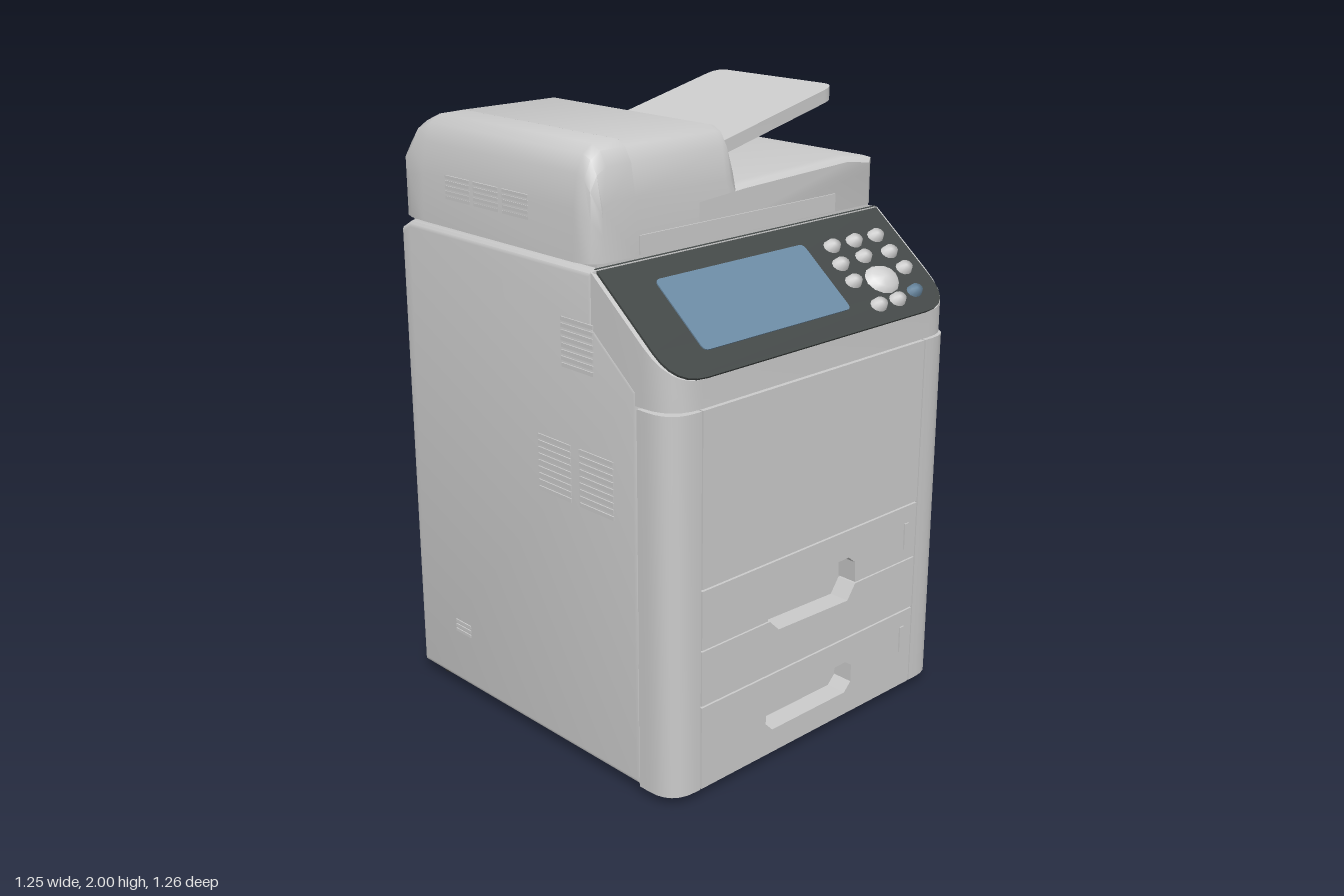
import * as THREE from 'three';
import { toCreasedNormals } from 'three/addons/utils/BufferGeometryUtils.js';

const material = (name, color) => {
  const m = new THREE.MeshStandardMaterial({ color });
  m.name = name;
  return m;
};

export function createModel() {
  const model = new THREE.Group();
  model.name = 'officePrinter';
  const casing = material('lightGreyCasing', 0xcbcbcb);
  const dark = material('charcoalPanel', 0x434847);
  const blue = material('screenBlue', 0x6b8aa3);
  const keyGrey = material('buttonGrey', 0xd6d6d6);
  const rubber = material('rubberFeet', 0x2c2e2e);

  const add = (name, geometry, mat = casing, parent = model) => {
    const mesh = new THREE.Mesh(geometry, mat);
    mesh.name = name;
    parent.add(mesh);
    return mesh;
  };
  const box = (name, x0, x1, y0, y1, z0, z1, mat = casing, parent = model) => {
    const mesh = add(name, new THREE.BoxGeometry(x1 - x0, y1 - y0, z1 - z0), mat, parent);
    mesh.position.set((x0 + x1) / 2, (y0 + y1) / 2, (z0 + z1) / 2);
    return mesh;
  };
  const polygon = (pts) => new THREE.Shape(pts.map(([x, y]) => new THREE.Vector2(x, y)));
  const crease = (g, angle = 0.6) => toCreasedNormals(g, angle);

  // Rounded rectangle seen from above; radii: front left, front right, back right, back left (as drawn)
  const plan = (x0, x1, z0, z1, [a, b, c, d]) => {
    const s = new THREE.Shape();
    s.moveTo(x0 + a, -z1);
    s.lineTo(x1 - b, -z1);
    if (b) s.quadraticCurveTo(x1, -z1, x1, -z1 + b);
    s.lineTo(x1, -z0 - c);
    if (c) s.quadraticCurveTo(x1, -z0, x1 - c, -z0);
    s.lineTo(x0 + d, -z0);
    if (d) s.quadraticCurveTo(x0, -z0, x0, -z0 - d);
    s.lineTo(x0, -z1 + a);
    if (a) s.quadraticCurveTo(x0, -z1, x0 + a, -z1);
    return s;
  };
  // Upright slab over a plan shape; an optional rule moves its vertices
  const slab = (shape, y0, y1, rule) => {
    const g = new THREE.ExtrudeGeometry(shape, { depth: y1 - y0, bevelEnabled: false, curveSegments: 6 });
    g.rotateX(-Math.PI / 2).translate(0, y0, 0);
    const p = g.attributes.position;
    if (rule) for (let i = 0; i < p.count; i++) p.setY(i, rule(p.getX(i), p.getY(i), p.getZ(i)));
    return crease(g);
  };

  // Loft of a convex front profile along z; stations are [z, height scale, side inset]
  const loft = (profile, stations, baseY, xMin, xMax) => {
    const pos = [], idx = [], n = profile.length;
    for (const [z, scale, inset] of stations)
      for (const [x, y] of profile)
        pos.push(THREE.MathUtils.clamp(x, xMin + inset, xMax - inset), baseY + (y - baseY) * scale, z);
    for (let s = 0; s < stations.length - 1; s++)
      for (let i = 0; i < n; i++) {
        const a = s * n + i, b = s * n + (i + 1) % n;
        idx.push(a, b, b + n, a, b + n, a + n);
      }
    const end = (stations.length - 1) * n;
    for (let i = 1; i < n - 1; i++) idx.push(0, i + 1, i, end, end + i, end + i + 1);
    const g = new THREE.BufferGeometry();
    g.setAttribute('position', new THREE.Float32BufferAttribute(pos, 3));
    g.setIndex(idx);
    return crease(g, 0.7);
  };

  // Main cabinet: side profile swept across the width with softened edges
  const W = 0.622, bev = 0.02;
  const side = polygon([[-0.605, 0.05], [0.475, 0.05], [0.475, 1.28], [0.29, 1.43], [0.29, 1.58],
    [-0.57, 1.58], [-0.605, 1.56]]);
  const cabinet = new THREE.ExtrudeGeometry(side, {
    depth: 2 * (W - bev), bevelSize: bev, bevelThickness: bev, bevelSegments: 3 });
  cabinet.translate(0, 0, -(W - bev)).rotateY(-Math.PI / 2);
  add('cabinet', crease(cabinet));

  // Front corner columns
  add('rightColumn', slab(plan(-W, -0.503, 0.49, 0.63, [0.1, 0, 0, 0]), 0.03, 1.238));
  add('leftColumn', slab(plan(0.487, W, 0.49, 0.63, [0, 0.1, 0, 0]), 0.03, 1.238));

  // Front door and paper drawers, with real handle openings
  const frontPanel = (name, pts, hole) => {
    const s = polygon(pts);
    if (hole) s.holes.push(polygon(hole));
    const g = new THREE.ExtrudeGeometry(s, { depth: 0.14, bevelEnabled: false });
    add(name, g.translate(0, 0, 0.49));
  };
  const L = -0.498, R = 0.482;
  frontPanel('frontDoor', [[L, 0.69], [R, 0.69], [R, 1.238], [L, 1.238]]);
  frontPanel('upperDrawerTop', [[L, 0.494], [-0.22, 0.494], [-0.2, 0.565], [-0.17, 0.59], [0.15, 0.59],
    [0.18, 0.565], [0.185, 0.494], [R, 0.494], [R, 0.684], [L, 0.684]]);
  frontPanel('upperDrawerBottom', [[L, 0.31], [R, 0.31], [R, 0.489], [0.185, 0.489], [0.15, 0.44],
    [-0.17, 0.45], [-0.21, 0.489], [L, 0.489]]);
  frontPanel('lowerDrawer', [[L, 0.03], [R, 0.03], [R, 0.304], [L, 0.304]],
    [[-0.22, 0.14], [-0.19, 0.11], [0.15, 0.11], [0.18, 0.14], [0.18, 0.2], [0.15, 0.22], [-0.19, 0.21], [-0.22, 0.19]]);
  box('upperHandleBack', -0.24, 0.2, 0.42, 0.61, 0.49, 0.56);
  box('lowerHandleBack', -0.24, 0.2, 0.09, 0.24, 0.49, 0.56);
  box('upperPaperGauge', 0.422, 0.442, 0.535, 0.625, 0.625, 0.635);
  box('lowerPaperGauge', 0.422, 0.442, 0.16, 0.25, 0.625, 0.635);

  // Sloping control console
  const slope = (z) => 1.6 - (z - 0.3) * 0.803;
  add('console', slab(plan(-W + 0.002, W - 0.002, 0.3, 0.63, [0.12, 0.12, 0, 0]), 1.245, 1.6,
    (x, y, z) => (y > 1.5 ? slope(z) - 0.004 : y)));
  const panel = new THREE.Group();
  panel.name = 'controlPanel';
  panel.position.set(0, 1.6, 0.3);
  panel.rotation.x = Math.atan(0.803);
  model.add(panel);
  const k = 1 / Math.cos(panel.rotation.x);
  add('panelFace', slab(plan(-0.605, 0.605, 0, 0.426, [0.12, 0.12, 0, 0]), -0.012, 0.004), dark, panel);
  add('screen', slab(plan(-0.44, 0.185, 0.065 * k, 0.27 * k, [0.02, 0.02, 0.02, 0.02]), 0.003, 0.008), blue, panel);
  const button = (name, x, z, rx, rz, mat = keyGrey) => {
    const b = add(name, crease(new THREE.CylinderGeometry(0.75, 1, 0.02, 12), 0.7), mat, panel);
    b.position.set(x, 0.012, (z - 0.3) * k);
    b.scale.set(rx, 1, rz);
  };
  [[0.295, 0.39], [0.4, 0.39], [0.505, 0.39], [0.275, 0.445], [0.39, 0.44], [0.51, 0.445],
    [0.275, 0.5], [0.52, 0.5], [0.305, 0.58], [0.395, 0.58]]
    .forEach(([x, z]) => button('button', x, z, 0.034, 0.026));
  button('mainButton', 0.395, 0.515, 0.07, 0.056);
  button('blueButton', 0.49, 0.57, 0.032, 0.024, blue);

  // Scanner lid
  box('lidNeck', -0.59, 0.58, 1.58, 1.63, -0.59, 0.295);
  add('scannerLid', loft(
    [[-0.2, 1.612], [0.605, 1.612], [0.605, 1.735], [0.59, 1.765], [0.46, 1.782], [0, 1.762], [-0.2, 1.745]],
    [[-0.615, 0.85, 0.05], [-0.6, 0.95, 0.02], [-0.57, 1, 0], [0.26, 1, 0], [0.29, 0.98, 0.015], [0.305, 0.9, 0.04]],
    1.612, -0.8, 0.605));
  box('lidGrip', -0.44, 0.4, 1.615, 1.672, 0.29, 0.31);

  // Document feeder: end cover and main cover, parted by a narrow seam
  const feeder = [[-0.615, 0.55, 0.05], [-0.6, 0.75, 0.02], [-0.56, 0.91, 0.005], [-0.49, 1, 0],
    [0.23, 1, 0], [0.262, 0.95, 0.005], [0.288, 0.82, 0.02], [0.305, 0.52, 0.05]];
  add('feederEndCover', loft(
    [[-0.448, 1.612], [-0.448, 1.94], [-0.545, 1.938], [-0.58, 1.915], [-0.605, 1.86], [-0.62, 1.76], [-0.625, 1.612]],
    feeder, 1.612, -0.625, 0.5));
  add('feederCover', loft(
    [[-0.035, 1.612], [-0.035, 1.75], [-0.045, 1.84], [-0.07, 1.935], [-0.09, 1.94], [-0.452, 1.94], [-0.452, 1.612]],
    feeder, 1.612, -0.8, 0.5));

  // Tilted paper tray, a little thicker at the feeder
  add('paperTray', slab(plan(-0.065, 0.474, -0.3, 0.23, [0, 0.05, 0.05, 0]), 0, 0.042,
    (x, y) => 1.835 + y + (x + 0.05) * 0.236));

  // Side ventilation slats and small plates
  const slats = (name, x, z0, z1, y0, y1, count) => {
    const group = new THREE.Group();
    group.name = name;
    model.add(group);
    const step = (y1 - y0) / count;
    for (let i = 0; i < count; i++)
      box('slat', x - 0.004, x + 0.004, y0 + i * step, y0 + (i + 0.6) * step, z0, z1, casing, group);
  };
  for (const s of [1, -1]) {
    slats('upperVent', s * W, 0.17, 0.31, 1.29, 1.45, 8);
    slats('frontVent', s * W, 0.24, 0.39, 0.87, 1.06, 9);
    slats('middleVent', s * W, 0.05, 0.2, 0.87, 1.06, 9);
    slats('lowerVent', s * W, -0.42, -0.34, 0.22, 0.27, 3);
  }
  [-0.37, -0.23, -0.09].forEach((z) => slats('feederVent', -0.619, z, z + 0.12, 1.7, 1.78, 5));
  box('sideCoverPlate', W - 0.002, W + 0.003, 1.29, 1.39, -0.5, -0.36);

  // Feet
  for (const x of [-0.53, 0.53])
    for (const z of [-0.55, 0.53]) {
      const foot = add('foot', new THREE.CylinderGeometry(0.062, 0.055, 0.035, 8), rubber);
      foot.position.set(x, 0.0175, z);
    }
  return model;
}
